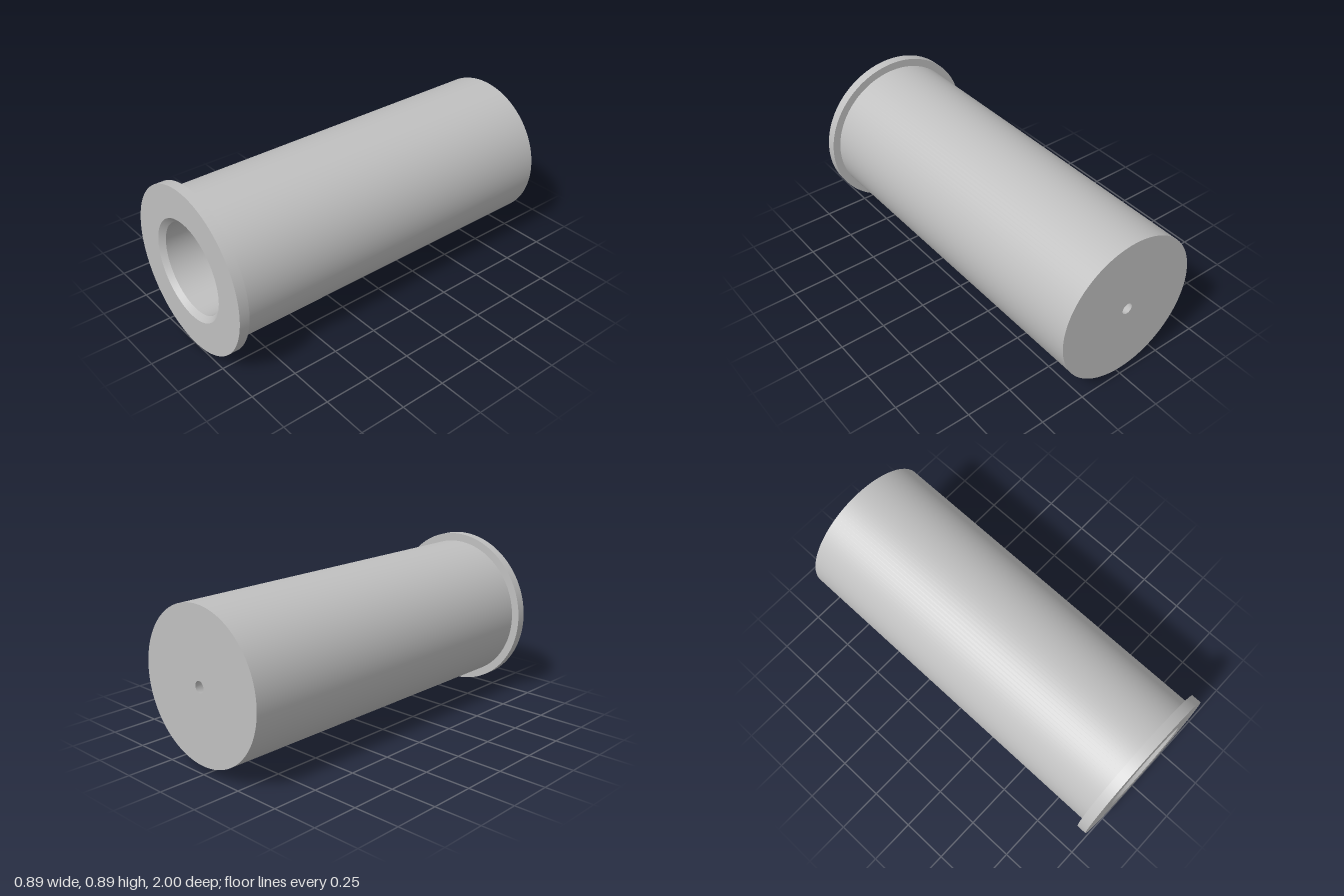
import * as THREE from 'three';

export function createModel() {
  const group = new THREE.Group();
  const metal = new THREE.MeshStandardMaterial({ color: 0xc0c0c0 });
  metal.name = 'light grey metal';

  // closed section as [radius, z], with the part each stretch belongs to
  const profile = [
    [0.03, -1, 'backFace'],
    [0.399, -1, 'barrel'],
    [0.399, 0.947, 'flangeBack'],
    [0.443, 0.947, 'flangeRim'],
    [0.443, 1, 'flangeFace'],
    [0.271, 1, 'mouthChamfer'],
    [0.244, 0.973, 'bore'],
    [0.244, -0.85, 'boreFloor'],
    [0.075, -0.85, 'taperedHole'],
  ];

  // each stretch is its own surface of revolution, so edges stay sharp
  profile.forEach(([r, z, name], i) => {
    const [r2, z2] = profile[(i + 1) % profile.length];
    const points = [new THREE.Vector2(r, z), new THREE.Vector2(r2, z2)];
    const geometry = new THREE.LatheGeometry(points, 128);
    geometry.rotateX(Math.PI / 2);
    const mesh = new THREE.Mesh(geometry, metal);
    mesh.name = name;
    mesh.position.y = 0.443;
    group.add(mesh);
  });

  group.name = 'flangedSleeve';
  return group;
}
